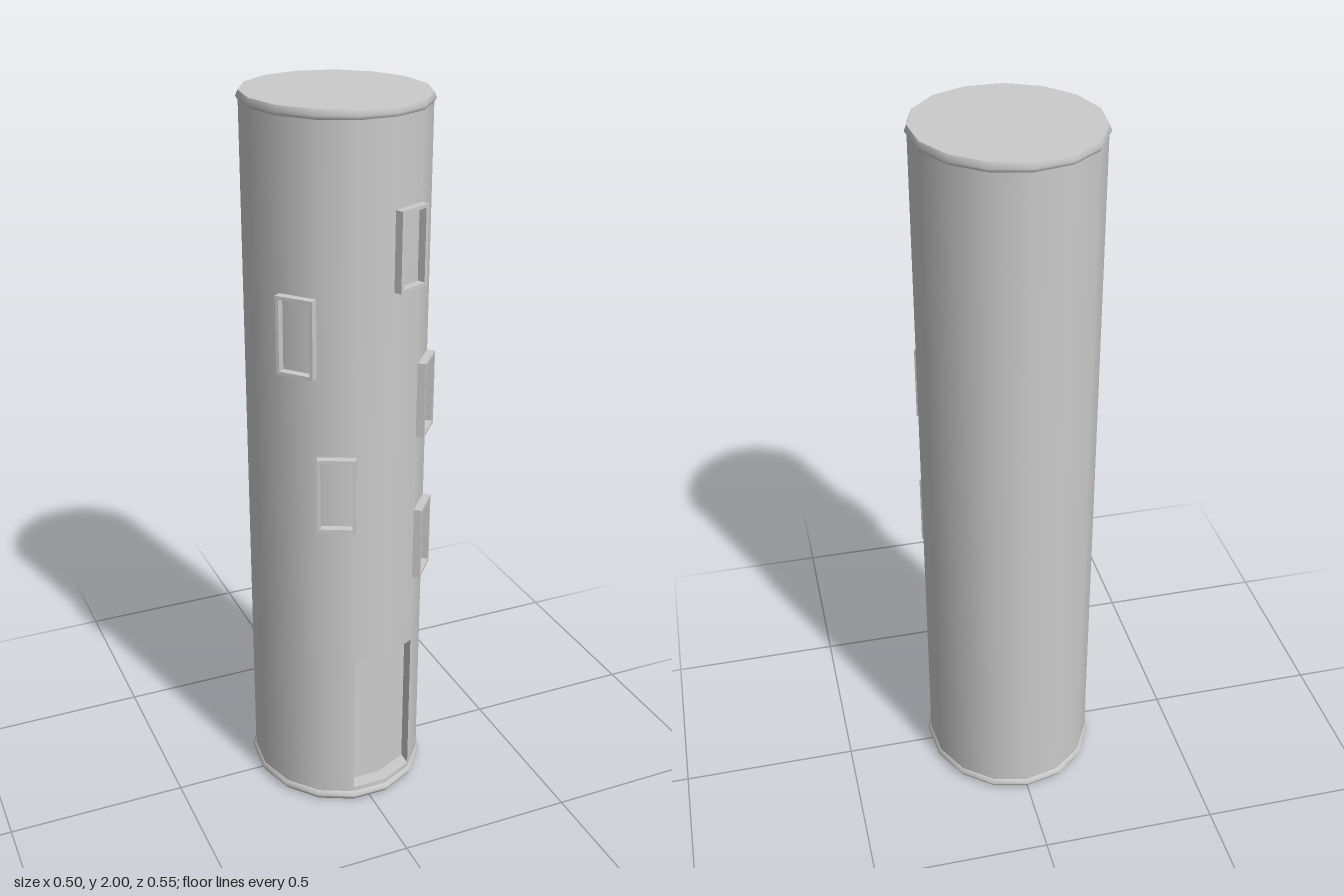
import * as THREE from 'three';

const SIDES = 15;
const RX = 0.2415, RZ = 0.2605, CZ = -0.0045; // slightly oval plan
const STEP = (Math.PI * 2) / SIDES;
const DOOR = { from: -STEP / 2, to: STEP * 1.5, bottom: 0.045, top: 0.475, depth: 0.04 };

const material = new THREE.MeshStandardMaterial({ color: 0xcccccc, side: THREE.DoubleSide });

// Corner of the 15-sided wall at an angle measured from the front
const corner = (a, y = 0) => new THREE.Vector3(RX * Math.sin(a), y, RZ * Math.cos(a) + CZ);

// Oval lathe; profile radii are relative to the wall
function ring(name, profile, start = Math.PI, sides = SIDES) {
  const points = profile.map(([r, y]) => new THREE.Vector2(r, y));
  const geometry = new THREE.LatheGeometry(points, sides, start, sides * STEP);
  geometry.scale(RX, 1, RZ).translate(0, 0, CZ);
  const mesh = new THREE.Mesh(geometry, material);
  mesh.name = name;
  return mesh;
}

// Door niche: the two wall panels pushed straight back, with sill, lintel and jambs
function doorNiche() {
  const positions = [];
  const quad = (a, b, c, d) => [a, b, c, a, c, d].forEach((p) => positions.push(p.x, p.y, p.z));
  const back = (p) => p.clone().setZ(p.z - DOOR.depth);
  const angles = [DOOR.from, DOOR.from + STEP, DOOR.to];
  const low = angles.map((a) => corner(a, DOOR.bottom));
  const high = angles.map((a) => corner(a, DOOR.top));
  for (let i = 0; i < 2; i++) {
    quad(back(low[i]), back(low[i + 1]), back(high[i + 1]), back(high[i]));
    quad(low[i], low[i + 1], back(low[i + 1]), back(low[i]));
    quad(back(high[i]), back(high[i + 1]), high[i + 1], high[i]);
  }
  quad(low[0], back(low[0]), back(high[0]), high[0]);
  quad(back(low[2]), low[2], high[2], back(high[2]));
  const geometry = new THREE.BufferGeometry();
  geometry.setAttribute('position', new THREE.Float32BufferAttribute(positions, 3));
  geometry.computeVertexNormals();
  const mesh = new THREE.Mesh(geometry, material);
  mesh.name = 'doorNiche';
  return mesh;
}

// Rectangular window frame sitting on one wall panel (panel 0 faces front)
function windowFrame(panel, y) {
  const a = corner((panel - 0.5) * STEP), b = corner((panel + 0.5) * STEP);
  const w = a.distanceTo(b) / 2, h = 0.105, bar = 0.009, depth = 0.022;
  const rect = (Type, x, v) => new Type([
    new THREE.Vector2(-x, -v), new THREE.Vector2(x, -v),
    new THREE.Vector2(x, v), new THREE.Vector2(-x, v),
  ]);
  const shape = rect(THREE.Shape, w, h);
  shape.holes.push(rect(THREE.Path, w - bar, h - bar));
  const geometry = new THREE.ExtrudeGeometry(shape, { depth, bevelEnabled: false });
  const mesh = new THREE.Mesh(geometry, material);
  mesh.name = 'windowFrame';
  mesh.position.copy(a).add(b).multiplyScalar(0.5).setY(y);
  mesh.rotation.y = Math.atan2(a.z - b.z, b.x - a.x);
  return mesh;
}

export function createModel() {
  const model = new THREE.Group();
  model.name = 'tower';

  // Wall, split into bands so the door panels stay open
  model.add(ring('lowerWall', [[1, 0.03], [1, DOOR.bottom]]));
  model.add(ring('doorBandWall', [[1, DOOR.bottom], [1, DOOR.top]], DOOR.to, SIDES - 2));
  model.add(ring('upperWall', [[1, DOOR.top], [1, 1.975]]));
  model.add(doorNiche());

  // Rims and the flat roof; the foot stays open
  model.add(ring('footRim', [[0.985, 0], [1.015, 0.008], [1.038, 0.02], [1, 0.03]]));
  model.add(ring('footLip', [[0.965, 0.012], [0.985, 0]]));
  model.add(ring('topRim', [[1, 1.975], [1.025, 1.985], [1, 2]]));
  model.add(ring('roof', [[1, 2], [0, 2]]));

  // Windows scattered over the front: [panel, height]
  const windows = [[1, 1.645], [-2, 1.43], [2, 1.217], [-1, 1.0], [2, 0.788]];
  for (const [panel, y] of windows) model.add(windowFrame(panel, y));

  return model;
}
